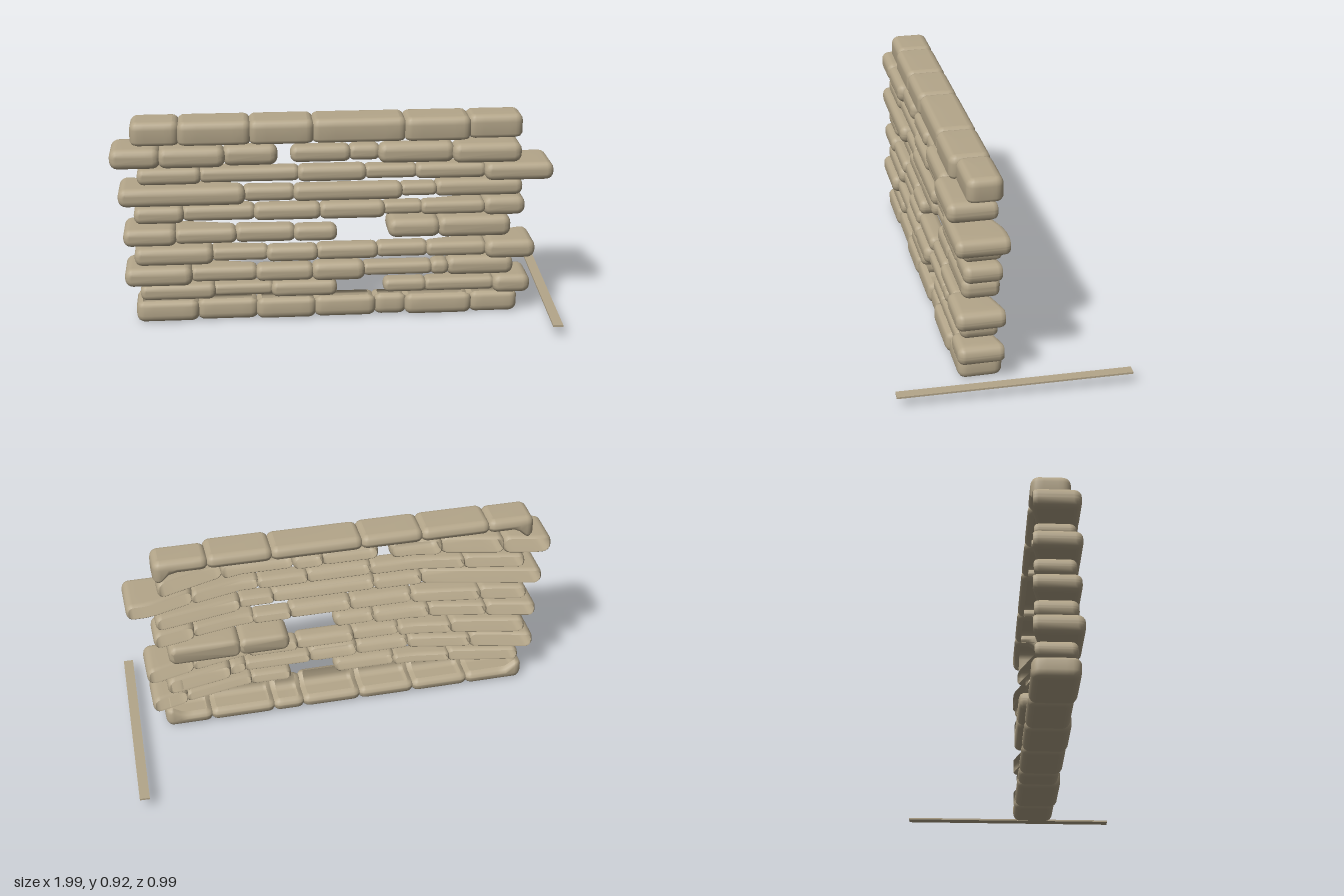
import * as THREE from 'three';

const clamp01 = (t) => Math.min(1, Math.max(0, t));

// Hollow pillow stone: rounded outline in xy, rounded front at +z, open at -z.
// depthAt(x, y) says how far the side walls run back from the front.
function shell(w, h, d, lip, depthAt, closed = false) {
  const r = Math.min(0.036, h * 0.42, w * 0.4), seg = 4, sub = 5;
  const pos = [], idx = [];
  const ring = (inset, zAt) => {
    const rr = Math.max(r - inset, 0.004);
    const outline = [];
    for (let c = 0; c < 4; c++) {
      const sx = c === 0 || c === 3 ? 1 : -1, sy = c < 2 ? 1 : -1;
      for (let k = 0; k <= seg; k++) {
        const a = (c + k / seg) * Math.PI / 2;
        outline.push([sx * (w / 2 - inset - rr) + Math.cos(a) * rr, sy * (h / 2 - inset - rr) + Math.sin(a) * rr]);
      }
    }
    outline.forEach(([x, y], i) => {
      const [nx, ny] = outline[(i + 1) % outline.length];
      // Straight edges between corners get extra points
      const steps = i % (seg + 1) === seg ? sub : 1;
      for (let s = 0; s < steps; s++) {
        const px = x + (nx - x) * s / steps, py = y + (ny - y) * s / steps;
        pos.push(px, py, zAt(px, py));
      }
    });
  };
  const b = Math.min(0.034, h * 0.38, d * 0.4);
  ring(lip, (x, y) => d / 2 - depthAt(x, y));
  ring(lip * 0.3, (x, y) => d / 2 - depthAt(x, y) + 0.008);
  ring(0, (x, y) => d / 2 - Math.max(depthAt(x, y) - 0.022, b + 0.004));
  for (let k = 0; k <= 4; k++) {
    const a = k / 4 * Math.PI / 2;
    ring(b * 0.9 * (1 - Math.cos(a)), () => d / 2 - b + b * Math.sin(a));
  }
  const n = 4 * (seg + sub), f = pos.length / 3 - n;
  for (let p = 0; p < f; p += n) {
    for (let i = 0; i < n; i++) {
      const j = (i + 1) % n;
      idx.push(p + i, p + j, p + n + j, p + i, p + n + j, p + n + i);
    }
  }
  // Front cap, and a back cap for the solid stones
  for (let i = 1; i < n - 1; i++) {
    idx.push(f, f + i, f + i + 1);
    if (closed) idx.push(0, i + 1, i);
  }
  const g = new THREE.BufferGeometry();
  g.setAttribute('position', new THREE.Float32BufferAttribute(pos, 3));
  g.setIndex(idx);
  g.computeVertexNormals();
  return g;
}

export function createModel() {
  const model = new THREE.Group();
  model.name = 'stoneWall';
  const stone = new THREE.MeshStandardMaterial({ color: 0xb4a68a, side: THREE.DoubleSide });
  stone.name = 'sandstone';

  // One course of stones between successive x edges.
  // insets trims the height of single stones, fronts moves single front faces.
  function course(name, y0, y1, zBack, zFront, edges, { insets = [], fronts = [], open = 'back' } = {}) {
    const group = new THREE.Group();
    group.name = name;
    const last = edges.length - 2;
    for (let i = 0; i <= last; i++) {
      const left = edges[i] - (i > 0 ? 0.006 : 0), right = edges[i + 1] + (i < last ? 0.006 : 0);
      const w = right - left, cx = (left + right) / 2;
      const h = y1 - y0 - 2 * (insets[i] || 0);
      const zf = zFront + (fronts[i] || 0), d = zf - zBack;
      let g;
      if (open === 'back') {
        // Deep at the ends of the wall, a shallow facing in between
        g = shell(w, h, d, 0.01, (x) => {
          const wx = cx + x;
          const t = wx < 0 ? (wx + 0.93) / 0.55 : (0.84 - wx) / 0.42;
          return THREE.MathUtils.lerp(d, 0.08, clamp01(t));
        });
      } else if (open === 'none') {
        g = shell(w, h, d, 0.02, () => d, true);
      } else {
        // Open above or below: full height in front and at the outer ends, low at the back
        const front = open === 'up' ? 1 : -1;
        g = shell(w, d, h, 0.028, (x, y) => {
          const nearFront = clamp01(1 - (d / 2 - front * y - 0.03) / 0.05);
          const outer = (x < 0 && i === 0) || (x > 0 && i === last);
          const nearEnd = outer ? clamp01((Math.abs(x) - w / 2 + 0.08) / 0.05) : 0;
          return THREE.MathUtils.lerp(0.062, h, Math.max(nearFront, nearEnd));
        });
        g.rotateX(front * Math.PI / 2);
      }
      const m = new THREE.Mesh(g, stone);
      m.name = 'stone';
      m.position.set(cx, (y0 + y1) / 2, (zBack + zf) / 2);
      group.add(m);
    }
    model.add(group);
  }

  // Courses from the ground up; window gaps split two of them
  course('baseCourse', 0, 0.095, 0.015, 0.215,
    [-0.91, -0.635, -0.37, -0.11, 0.16, 0.3, 0.595, 0.81],
    { open: 'up', fronts: [0, -0.01, 0, -0.005, -0.015, 0, -0.01] });
  course('secondCourseRight', 0.1, 0.172, 0.02, 0.205, [-0.89, -0.56, -0.3, -0.01],
    { insets: [0, 0.008, 0], fronts: [0, -0.02, 0] });
  course('secondCourseLeft', 0.093, 0.178, 0.02, 0.215, [0.2, 0.39, 0.7, 0.865],
    { insets: [0.012, 0.012, 0], fronts: [-0.02, -0.02, 0] });
  course('thirdCourse', 0.175, 0.262, 0.02, 0.215,
    [-0.955, -0.66, -0.37, -0.12, 0.11, 0.415, 0.49, 0.79],
    { insets: [0, 0.009, 0.006, 0, 0.014, 0.01, 0], fronts: [0.015, -0.01, 0, 0, -0.02, -0.02, -0.025] });
  course('fourthCourse', 0.262, 0.352, 0.02, 0.21,
    [-0.91, -0.565, -0.32, -0.1, 0.17, 0.395, 0.66, 0.88],
    { insets: [0.004, 0.014, 0.01, 0.01, 0.012, 0.012, 0.002], fronts: [0, -0.02, 0, -0.01, -0.02, -0.01, 0.015] });
  course('fifthCourseRight', 0.362, 0.442, 0.02, 0.22, [-0.955, -0.725, -0.46, -0.2, -0.01],
    { insets: [0, 0.005, 0.002, 0.004], fronts: [0, -0.01, -0.02, -0.01] });
  course('fifthCourseLeft', 0.355, 0.45, 0.02, 0.18, [0.22, 0.45, 0.775],
    { open: 'none', insets: [0.004, 0] });
  course('sixthCourse', 0.457, 0.542, 0.02, 0.195,
    [-0.905, -0.69, -0.375, -0.085, 0.2, 0.37, 0.65, 0.835],
    { insets: [0.005, 0.008, 0.006, 0.005, 0.015, 0.012, 0], fronts: [0.01, -0.01, 0, 0, -0.02, -0.01, -0.01] });
  course('seventhCourse', 0.548, 0.632, 0.02, 0.21,
    [-0.97, -0.42, -0.2, 0.275, 0.43, 0.82],
    { insets: [0, 0.008, 0.005, 0.014, 0.004], fronts: [0.015, -0.01, 0, -0.02, -0.025] });
  course('eighthCourse', 0.638, 0.718, 0.02, 0.205,
    [-0.885, -0.61, -0.18, 0.115, 0.34, 0.645, 0.945],
    { insets: [0.004, 0.008, 0.004, 0.01, 0.006, 0], fronts: [0, -0.01, 0, -0.01, 0, 0.035] });
  course('ninthCourseRight', 0.72, 0.81, 0.02, 0.22, [-1, -0.785, -0.505, -0.27],
    { fronts: [0, 0, -0.02] });
  course('ninthCourseLeft', 0.722, 0.812, 0.02, 0.22, [-0.215, 0.045, 0.175, 0.5, 0.8],
    { insets: [0.008, 0.01, 0, 0], fronts: [-0.02, -0.03, 0, 0.025] });
  course('capCourse', 0.812, 0.921, 0.015, 0.185,
    [-0.91, -0.7, -0.39, -0.115, 0.29, 0.575, 0.815],
    { open: 'down', fronts: [0, 0.01, 0.01, 0.005, 0.01, -0.015] });

  // Thin plank lying beside the wall
  const plank = new THREE.Mesh(new THREE.BoxGeometry(0.044, 0.008, 0.99), stone);
  plank.name = 'plank';
  plank.position.set(0.955, 0.055, -0.003);
  plank.rotation.set(0.011, -0.036, 0);
  model.add(plank);

  return model;
}
